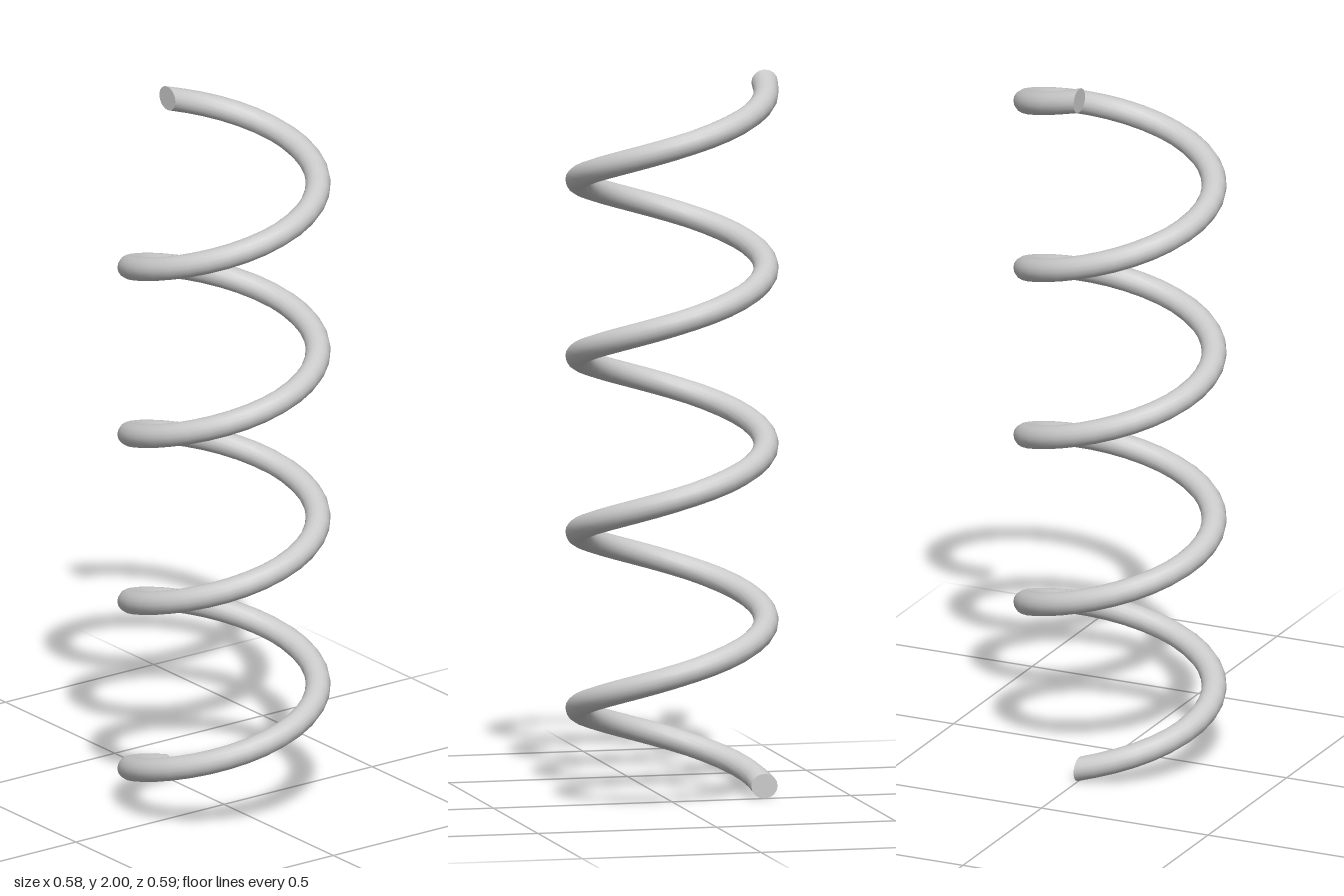
import * as THREE from 'three';

const TURNS = 4, STEPS = 32, SIDES = 16;
const COIL_R = 0.256, WIRE_R = 0.034, Y0 = 0.034, Y1 = 1.966;

// Point on the wire's circular section, which lies in the plane of the coil axis
function wirePoint(i, j) {
  const count = TURNS * STEPS;
  const turn = (i / STEPS) * Math.PI * 2;
  const a = (j / SIDES) * Math.PI * 2;
  // the two end rings flare slightly outwards
  const flare = i === 0 || i === count ? 0.003 : 0;
  const r = COIL_R + flare + (WIRE_R + flare) * Math.cos(a);
  const y = Y0 + (Y1 - Y0) * (i / count) + WIRE_R * Math.sin(a);
  return [-r * Math.sin(turn), y, -r * Math.cos(turn)];
}

function geometryFrom(positions, index) {
  const g = new THREE.BufferGeometry();
  g.setAttribute('position', new THREE.Float32BufferAttribute(positions, 3));
  g.setIndex(index);
  g.computeVertexNormals();
  return g;
}

// Helical wire, smooth all round
function coilGeometry() {
  const positions = [], index = [], count = TURNS * STEPS;
  for (let i = 0; i <= count; i++) {
    for (let j = 0; j < SIDES; j++) {
      positions.push(...wirePoint(i, j));
      if (i === count) continue;
      const k = (j + 1) % SIDES;
      const a = i * SIDES + j, b = i * SIDES + k;
      const c = a + SIDES, d = b + SIDES;
      index.push(a, c, b, b, c, d);
    }
  }
  return geometryFrom(positions, index);
}

// Flat disc closing one end of the wire
function capGeometry(i, flip) {
  const positions = [], index = [];
  for (let j = 0; j < SIDES; j++) {
    positions.push(...wirePoint(i, j));
    if (j > 1) index.push(0, ...(flip ? [j, j - 1] : [j - 1, j]));
  }
  return geometryFrom(positions, index);
}

export function createModel() {
  const group = new THREE.Group();
  group.name = 'coilSpring';
  const material = new THREE.MeshStandardMaterial({ color: 0xcccccc });
  const add = (name, geometry) => {
    const mesh = new THREE.Mesh(geometry, material);
    mesh.name = name;
    group.add(mesh);
  };
  add('coil', coilGeometry());
  add('bottomEnd', capGeometry(0, false));
  add('topEnd', capGeometry(TURNS * STEPS, true));
  return group;
}
